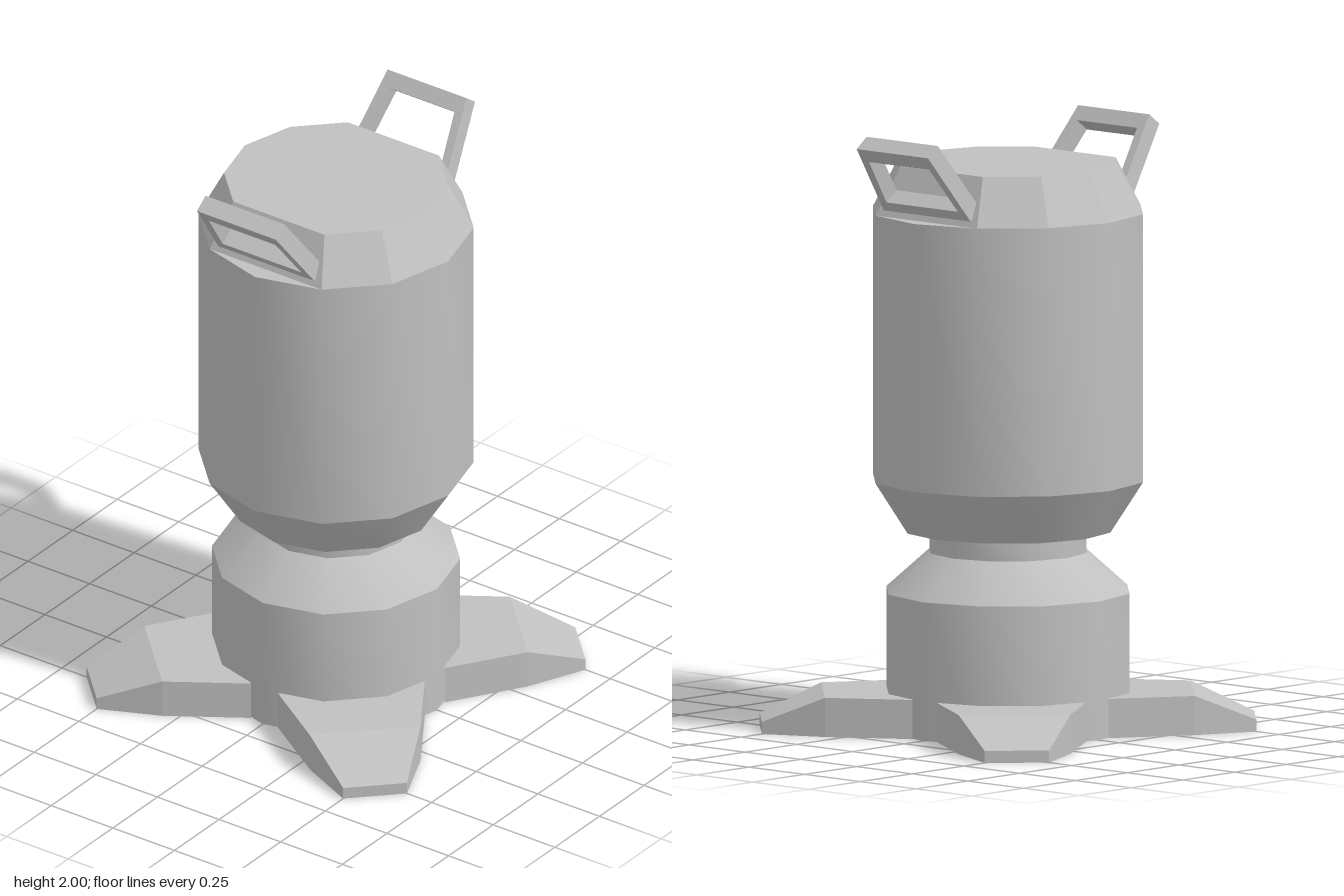
import * as THREE from 'three';
import { toCreasedNormals } from 'three/addons/utils/BufferGeometryUtils.js';

const grey = new THREE.MeshStandardMaterial({ color: 0xc0c0c0, side: THREE.DoubleSide });
grey.name = 'grey';

function part(name, geometry) {
  const mesh = new THREE.Mesh(geometry, grey);
  mesh.name = name;
  return mesh;
}

// Twelve-sided turned shape with corners on the axes
function turned(profile) {
  return new THREE.LatheGeometry(profile.map(([r, y]) => new THREE.Vector2(r, y)), 12);
}

const creased = (geometry) => toCreasedNormals(geometry, 0.55);

// Foot pointing along +z: tapering shell, open below and at the inner end
function footGeometry() {
  const sections = [[0.322, 0.244, 0.13], [0.608, 0.184, 0.13], [0.813, 0.106, 0.04]]
    .map(([z, w, h]) => [[-w, 0, z], [-w, h, z], [w, h, z], [w, 0, z]]);
  const positions = [];
  const quad = (a, b, c, d) => positions.push(...a, ...b, ...c, ...a, ...c, ...d);
  for (let i = 0; i < 2; i++) {
    const [s, t] = [sections[i], sections[i + 1]];
    for (let j = 0; j < 3; j++) quad(s[j], t[j], t[j + 1], s[j + 1]);
  }
  const tip = sections[2];
  quad(tip[0], tip[3], tip[2], tip[1]);
  const geometry = new THREE.BufferGeometry();
  geometry.setAttribute('position', new THREE.Float32BufferAttribute(positions, 3));
  geometry.computeVertexNormals();
  return geometry;
}

// Trapezoid frame leaning outward on the +x side
function handleGeometry() {
  const trapezoid = (w0, y0, w1, y1) =>
    [[-w0, y0], [w0, y0], [w1, y1], [-w1, y1]].map(([x, y]) => new THREE.Vector2(x, y));
  const shape = new THREE.Shape(trapezoid(0.195, -0.03, 0.16, 0.25));
  shape.holes.push(new THREE.Path(trapezoid(0.16, 0.01, 0.135, 0.195)));
  const geometry = new THREE.ExtrudeGeometry(shape, { depth: 0.06, bevelEnabled: false });
  const lean = new THREE.Matrix4().makeBasis(
    new THREE.Vector3(0, 0, -1),
    new THREE.Vector3(0.6, 0.8, 0),
    new THREE.Vector3(0.8, -0.6, 0)
  );
  return geometry.applyMatrix4(lean.setPosition(0.36, 1.8, 0));
}

export function createModel() {
  const model = new THREE.Group();
  model.name = 'canister';

  // Hollow base, sloped shoulder and neck
  model.add(part('base', creased(turned([
    [0.41, 0], [0.41, 0.46], [0.265, 0.59], [0.265, 0.66],
  ]))));

  // Main tank with tapered bottom and flat ledge on top
  model.add(part('tank', creased(turned([
    [0.265, 0.66], [0.345, 0.66], [0.455, 0.83], [0.455, 1.72], [0.3, 1.72],
  ]))));

  // Lid, flattened on both sides to seat the handles
  const lid = turned([[0.455, 1.72], [0.37, 1.88], [0, 1.88]]);
  const p = lid.attributes.position;
  for (let i = 0; i < p.count; i++) {
    if (Math.abs(p.getZ(i)) < 1e-4) p.setX(i, p.getX(i) * Math.cos(Math.PI / 6));
  }
  model.add(part('lid', toCreasedNormals(lid, 0.4)));

  // Two handles
  const handle = handleGeometry();
  ['leftHandle', 'rightHandle'].forEach((name, i) => {
    const mesh = part(name, handle);
    mesh.rotation.y = i * Math.PI;
    model.add(mesh);
  });

  // Four feet on the diagonals
  const foot = footGeometry();
  ['frontLeftFoot', 'backLeftFoot', 'backRightFoot', 'frontRightFoot'].forEach((name, i) => {
    const mesh = part(name, foot);
    mesh.rotation.y = Math.PI / 4 + i * Math.PI / 2;
    model.add(mesh);
  });

  return model;
}
